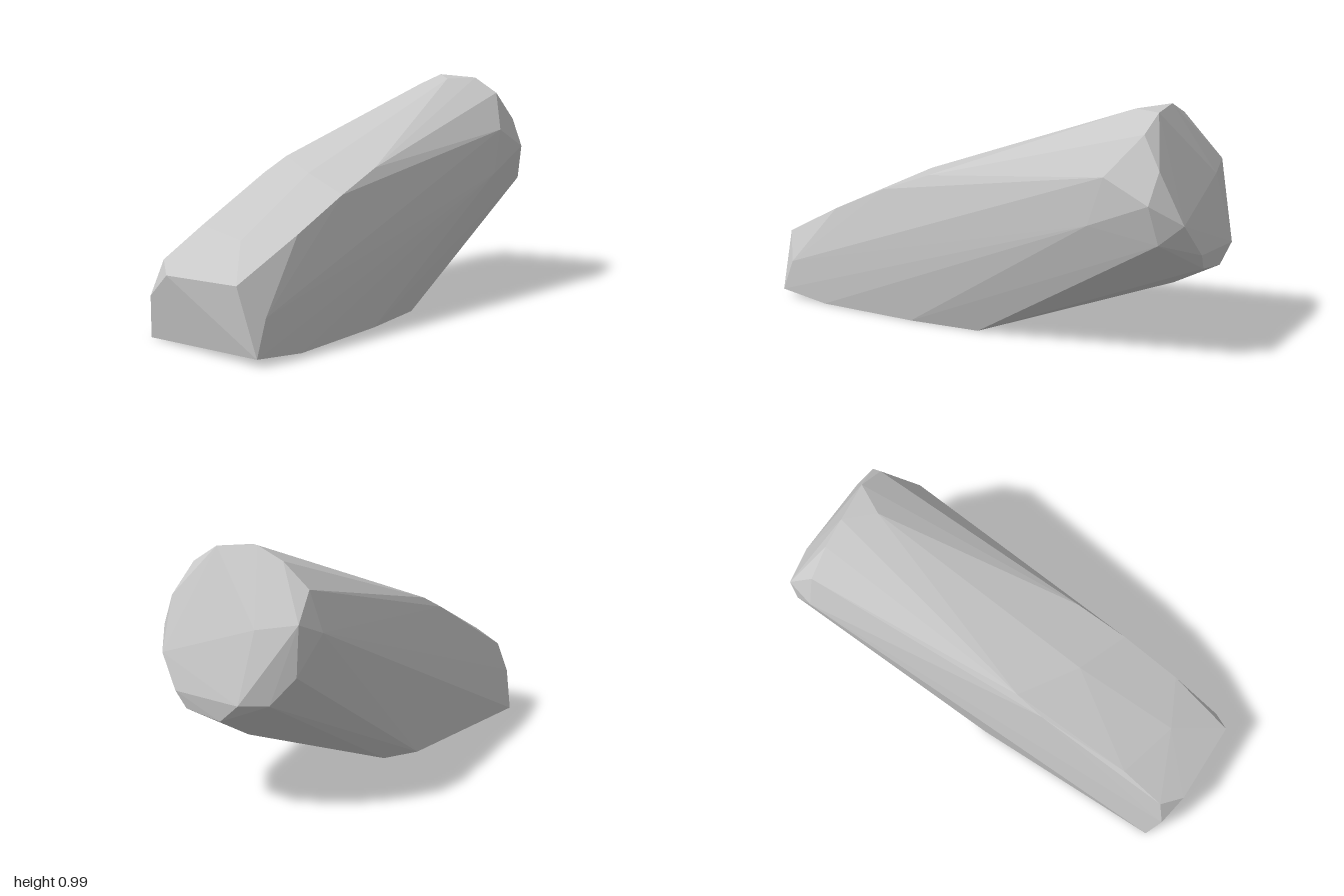
import * as THREE from 'three';
import { ConvexGeometry } from 'three/addons/geometries/ConvexGeometry.js';

const stone = new THREE.MeshStandardMaterial({ color: 0xc8c8c8 });
stone.name = 'pale stone grey';

// Corners of the faceted block, grouped by region as [x, y, z]
const base = [
  [-0.94, 0, -0.26], [-0.07, 0, -0.26], [0.09, 0, -0.19], [0.05, 0, 0.285],
  [-0.27, 0, 0.33], [-0.74, 0, 0.352],
];
const tail = [
  [-0.985, 0.03, 0.354], [-0.93, 0.17, 0.348], [-1, 0.29, 0.27],
  [-1, 0.28, -0.1], [-0.975, 0.18, -0.22], [-0.93, 0.32, -0.19],
];
const spine = [
  [-0.8, 0.41, 0.1], [-0.73, 0.43, -0.18], [-0.35, 0.62, 0.05], [-0.33, 0.6, -0.215],
  [-0.2, 0.66, -0.205], [-0.7, 0.44, 0.3], [-0.43, 0.56, 0.295], [-0.2, 0.645, 0.28],
];
const crest = [
  [0.65, 0.97, 0.05], [0.755, 0.985, -0.06], [0.782, 0.973, 0.12], [0.78, 0.905, 0.24],
  [0.755, 0.935, -0.18], [0.755, 0.84, -0.3], [0.75, 0.685, -0.357],
  [0.66, 0.745, 0.34], [0.6, 0.55, 0.35],
];
const head = [
  [0.865, 0.78, 0.28], [0.85, 0.655, 0.34], [0.88, 0.5, 0.305], [0.96, 0.575, 0.25],
  [0.995, 0.445, 0.155], [0.985, 0.38, 0.11], [0.985, 0.355, -0.055], [0.995, 0.43, -0.15],
  [0.93, 0.43, -0.245], [0.87, 0.535, -0.325], [0.865, 0.73, -0.333],
  [0.91, 0.7, -0.165], [0.8, 0.257, -0.035],
];

export function createModel() {
  const model = new THREE.Group();
  model.name = 'facetedBlock';

  // One solid leaning block with flat facets
  const points = [base, tail, spine, crest, head].flat().map((p) => new THREE.Vector3(...p));
  const block = new THREE.Mesh(new ConvexGeometry(points), stone);
  block.name = 'rock';
  model.add(block);
  return model;
}
